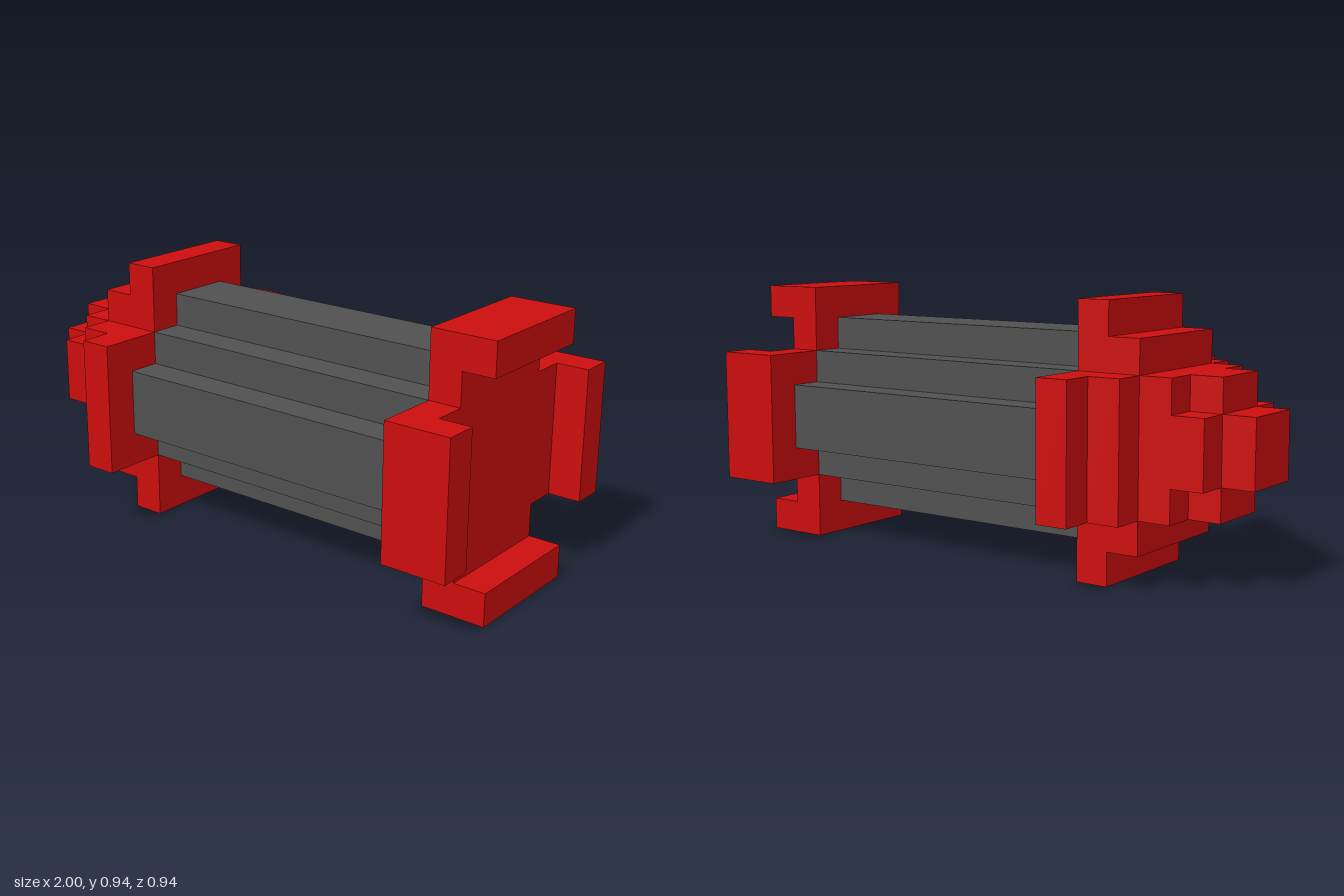
import * as THREE from 'three';

const U = 2 / 17; // one block unit
const red = new THREE.MeshStandardMaterial({ color: 0xcc0d0d });
red.name = 'red';
const grey = new THREE.MeshStandardMaterial({ color: 0x505050 });
grey.name = 'dark grey';

// Four-way symmetric section from one quadrant's corners, extruded along x (block units from the tip)
function section(name, corners, from, to, material) {
  const points = [];
  for (let q = 0; q < 4; q++) {
    for (const [a, b] of corners) {
      const [x, y] = [[a, b], [-b, a], [-a, -b], [b, -a]][q];
      points.push(new THREE.Vector2(x * U, y * U));
    }
  }
  const geometry = new THREE.ExtrudeGeometry(new THREE.Shape(points), {
    depth: (to - from) * U, bevelEnabled: false,
  });
  geometry.rotateY(Math.PI / 2);
  const mesh = new THREE.Mesh(geometry, material);
  mesh.name = name;
  mesh.position.set(from * U - 1, 4 * U, 0);
  return mesh;
}

// Quadrant corners of a plus with the given reach and arm half-width
const plus = (reach, half) => [[reach, half], [half, half], [half, reach]];

export function createModel() {
  const group = new THREE.Group();
  group.name = 'steppedCapsule';

  // Stepped nose
  group.add(section('noseTip', [[1, 1]], 0, 1, red));
  group.add(section('noseCross', plus(2, 1), 1, 2, red));
  group.add(section('noseBlock', [[2, 2]], 2, 3, red));
  group.add(section('noseStep', plus(3, 2), 3, 4, red));
  group.add(section('noseCollar', plus(4, 2), 4, 5, red));

  // Ridged barrel
  const ridges = [[3, 1], [2, 1], [2, 2], [1, 2], [1, 3]];
  group.add(section('barrel', ridges, 5, 15, grey));

  // Base plate with a lip at the end of each arm
  group.add(section('basePlate', plus(4, 2), 15, 16, red));
  for (let i = 0; i < 4; i++) {
    const angle = (i * Math.PI) / 2;
    const lip = new THREE.Mesh(new THREE.BoxGeometry(U, U, 4 * U), red);
    lip.name = 'baseLip' + (i + 1);
    lip.rotation.x = angle;
    lip.position.set(16.5 * U - 1, 4 * U + Math.cos(angle) * 3.5 * U, Math.sin(angle) * 3.5 * U);
    group.add(lip);
  }
  return group;
}
